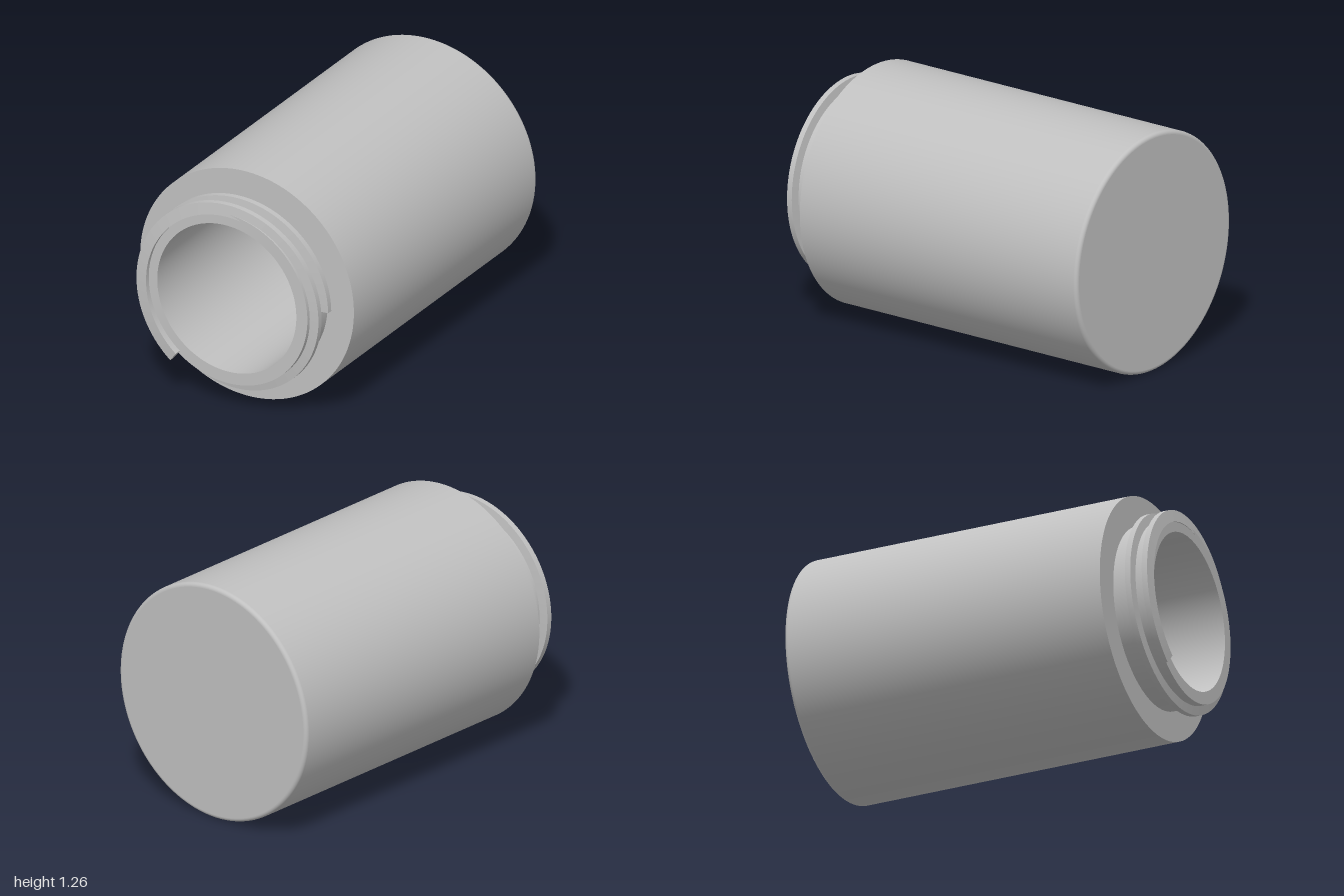
import * as THREE from 'three';
import { toCreasedNormals } from 'three/addons/utils/BufferGeometryUtils.js';

const R = 0.63, CENTRE_Y = 0.63, BACK = -1, SHOULDER = 0.765, RIM = 0.96;
const NECK = 0.475, BORE = 0.41, FLOOR = -0.93, FILLET = 0.02;

// Surface of revolution about z; points are [radius, z]
function turned(name, points, material) {
  const geometry = new THREE.LatheGeometry(points.map(([r, z]) => new THREE.Vector2(r, z)), 128);
  geometry.rotateX(Math.PI / 2);
  const mesh = new THREE.Mesh(geometry, material);
  mesh.name = name;
  mesh.position.y = CENTRE_Y;
  return mesh;
}

// Helical ridge with a trapezoid section, winding clockwise from the rim
function threadGeometry() {
  const section = [[0.46, -0.024], [0.522, -0.015], [0.522, 0.015], [0.46, 0.024]];
  const start = 233, sweep = 593, pitch = 0.094, startZ = 0.976, steps = 200;
  const positions = [], index = [];
  for (let i = 0; i <= steps; i++) {
    const turn = sweep * i / steps;
    const a = THREE.MathUtils.degToRad(start - turn);
    for (const [r, dz] of section) {
      positions.push(r * Math.cos(a), r * Math.sin(a), startZ - pitch * turn / 360 + dz);
    }
  }
  for (let i = 0; i < steps; i++) {
    for (let j = 0; j < 4; j++) {
      const k = (j + 1) % 4, a = i * 4 + j, b = i * 4 + k;
      index.push(a, b, a + 4, b, b + 4, a + 4);
    }
  }
  const e = steps * 4;
  index.push(0, 2, 1, 0, 3, 2, e, e + 1, e + 2, e, e + 2, e + 3);
  const geometry = new THREE.BufferGeometry();
  geometry.setAttribute('position', new THREE.Float32BufferAttribute(positions, 3));
  geometry.setIndex(index);
  return toCreasedNormals(geometry, 0.5);
}

export function createModel() {
  const grey = new THREE.MeshStandardMaterial({ color: 0xc0c0c0 });
  grey.name = 'grey';
  const model = new THREE.Group();
  model.name = 'threadedBottle';

  // Rounded edge around the closed end
  const edge = [];
  for (let i = 0; i <= 8; i++) {
    const a = (i / 8) * Math.PI / 2;
    edge.push([R - FILLET + FILLET * Math.sin(a), BACK + FILLET - FILLET * Math.cos(a)]);
  }

  model.add(
    turned('base', [[0, BACK], [R - FILLET, BACK]], grey),
    turned('baseEdge', edge, grey),
    turned('bodyWall', [[R, BACK + FILLET], [R, SHOULDER]], grey),
    turned('shoulder', [[R, SHOULDER], [NECK, SHOULDER]], grey),
    turned('neck', [[NECK, SHOULDER], [NECK, RIM]], grey),
    turned('rim', [[NECK, RIM], [BORE, RIM]], grey),
    turned('bore', [[BORE, RIM], [BORE, FLOOR]], grey),
    turned('boreFloor', [[BORE, FLOOR], [0, FLOOR]], grey),
  );

  // Screw thread on the neck
  const thread = new THREE.Mesh(threadGeometry(), grey);
  thread.name = 'screwThread';
  thread.position.y = CENTRE_Y;
  model.add(thread);
  return model;
}
